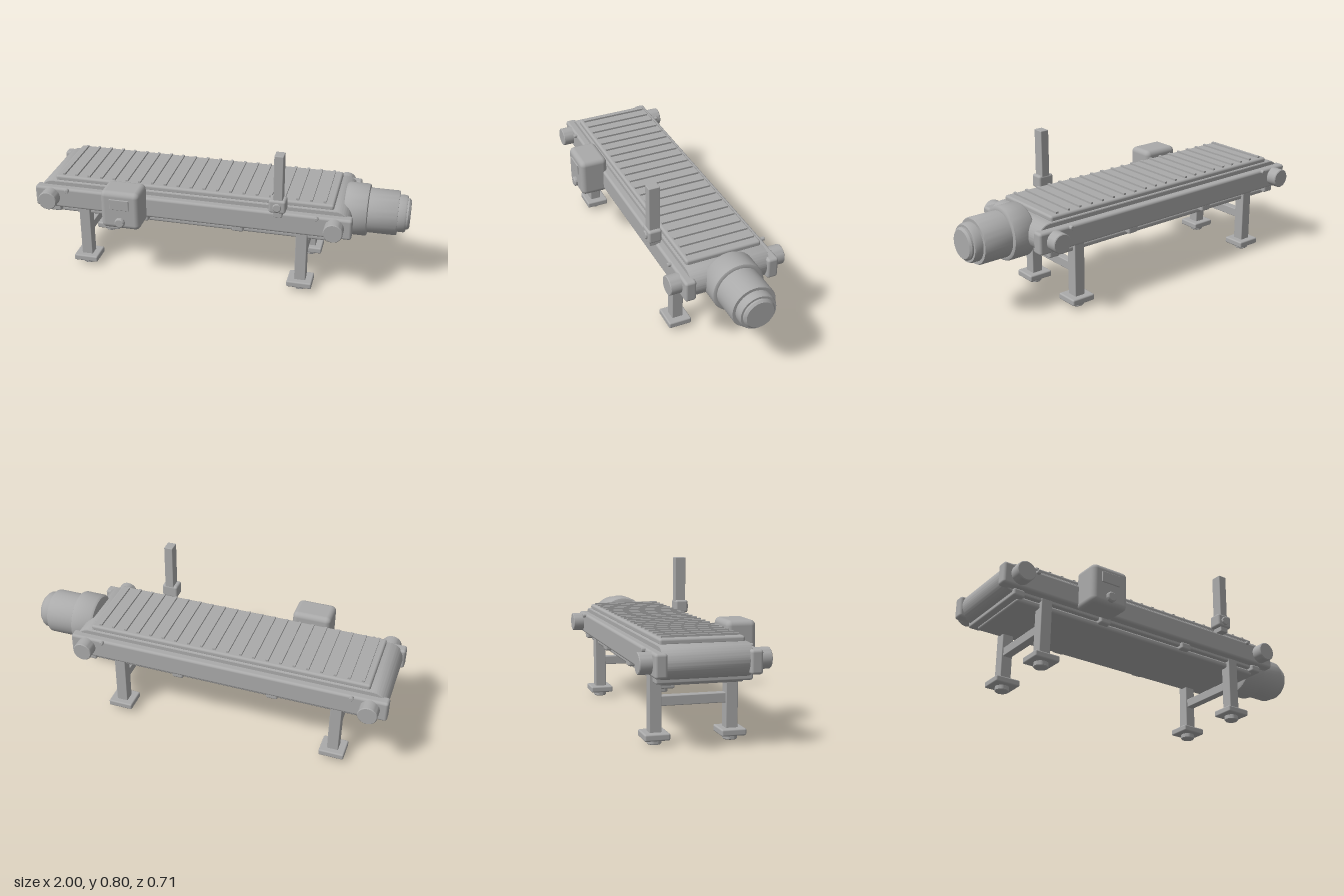
import * as THREE from 'three';
import { toCreasedNormals } from 'three/addons/utils/BufferGeometryUtils.js';
import { RoundedBoxGeometry } from 'three/addons/geometries/RoundedBoxGeometry.js';

const ZC = -0.041; // centre line of the conveyor

export function createModel() {
  const model = new THREE.Group();
  model.name = 'beltConveyor';
  const grey = new THREE.MeshStandardMaterial({ color: 0xaaaaaa });
  grey.name = 'machine grey';

  const add = (name, geometry) => {
    const mesh = new THREE.Mesh(geometry, grey);
    mesh.name = name;
    model.add(mesh);
    return mesh;
  };
  // Box given by its limits on each axis, with optional rounded edges
  const box = (name, [x0, x1], [y0, y1], [z0, z1], r = 0) => {
    const size = [x1 - x0, y1 - y0, z1 - z0];
    const g = r ? new RoundedBoxGeometry(...size, 3, r) : new THREE.BoxGeometry(...size);
    return add(name, g).position.set((x0 + x1) / 2, (y0 + y1) / 2, (z0 + z1) / 2);
  };
  // Turned part from [radius, height] points, standing on the y axis
  const turned = (name, points, segments = 32) => {
    const g = new THREE.LatheGeometry(points.map(p => new THREE.Vector2(...p)), segments);
    return add(name, toCreasedNormals(g, 0.6));
  };
  // Disc with a small bevel on the outer rim
  const disc = (name, r, h, bevel = 0.004, segments = 28) => turned(name,
    [[0, 0], [r, 0], [r, h - bevel], [r - bevel, h], [0, h]], segments);

  // Belt wrapped around the two end drums
  const R = 0.079, XA = -0.91, XB = 0.63, YC = 0.414;
  const loop = new THREE.Shape();
  loop.moveTo(XA, -R);
  loop.lineTo(XB, -R);
  loop.absarc(XB, 0, R, -Math.PI / 2, Math.PI / 2, false);
  loop.lineTo(XA, R);
  loop.absarc(XA, 0, R, Math.PI / 2, Math.PI * 1.5, false);
  const beltGeo = new THREE.ExtrudeGeometry(loop, {
    depth: 0.414, bevelEnabled: true, bevelSize: 0.006, bevelThickness: 0.008,
    bevelOffset: -0.006, bevelSegments: 2, curveSegments: 24,
  });
  add('beltLoop', toCreasedNormals(beltGeo, 0.5)).position.set(0, YC, ZC - 0.207);

  // Upper and lower belt runs
  box('upperRun', [-0.895, 0.618], [0.484, 0.518], [-0.246, 0.163], 0.012);
  box('lowerRun', [-0.895, 0.618], [0.303, 0.334], [-0.244, 0.159], 0.012);

  // Cleats across the belt
  for (let i = 0; i < 21; i++) {
    const x = -0.853 + i * 0.0711;
    box('cleat', [x - 0.007, x + 0.007], [0.512, 0.528], [-0.229, 0.146]);
  }

  // Cross members under the side rails
  for (const x of [-0.898, -0.4, 0.12, 0.62])
    box('crossMember', [x - 0.031, x + 0.031], [0.316, 0.354], [-0.274, 0.191], 0.01);

  for (const s of [1, -1]) {
    // Side rails
    const zr = ZC + s * 0.224;
    box('sideRail', [-1, 0.72], [0.352, 0.467], [zr - 0.03, zr + 0.03], 0.014);

    // Bearing housings and rail screws on the outside
    for (const x of [XA, XB]) {
      const bearing = disc('bearingHousing', 0.051, 0.084);
      bearing.position.set(x, YC, ZC + s * 0.23);
      bearing.rotation.x = s * Math.PI / 2;
    }
    for (const x of [-0.815, 0.537]) {
      const screw = disc('railScrew', 0.011, 0.02, 0.002, 14);
      screw.position.set(x, 0.459, ZC + s * 0.25);
      screw.rotation.x = s * Math.PI / 2;
    }

    // Legs with foot plates and levelling pads
    for (const x of [-0.738, 0.459]) {
      const z = ZC + s * 0.188;
      box('leg', [x - 0.03, x + 0.03], [0.05, 0.37], [z - 0.03, z + 0.03], 0.004);
      box('footPlate', [x - 0.067, x + 0.067], [0.025, 0.059], [z - 0.062, z + 0.062], 0.008);
      const pad = disc('levellingPad', 0.036, 0.03);
      pad.position.set(x, 0.03, z);
      pad.rotation.x = Math.PI;
    }
  }

  // Braces between each pair of legs
  for (const x of [-0.738, 0.459])
    box('legBrace', [x - 0.022, x + 0.022], [0.181, 0.229], [ZC - 0.17, ZC + 0.17], 0.004);

  // Drive motor: flange, body and stepped end cap
  const motor = turned('driveMotor', [
    [0, 0.655], [0.118, 0.655], [0.131, 0.66], [0.139, 0.672], [0.139, 0.772], [0.136, 0.78], [0.128, 0.784],
    [0.119, 0.784], [0.119, 0.93], [0.115, 0.938], [0.099, 0.938],
    [0.099, 0.972], [0.094, 0.981], [0.083, 0.981], [0.083, 0.99], [0.073, 1], [0, 1],
  ], 48);
  motor.position.set(0, 0.409, ZC);
  motor.rotation.z = -Math.PI / 2;

  // Control box with screen and push button
  box('controlBox', [-0.582, -0.371], [0.333, 0.546], [0.185, 0.34], 0.028);
  box('controlScreen', [-0.53, -0.425], [0.449, 0.508], [0.337, 0.346], 0.003);
  const button = disc('pushButton', 0.027, 0.02, 0.006);
  button.position.set(-0.476, 0.377, 0.337);
  button.rotation.x = Math.PI / 2;

  // Sensor post with clamp and knob
  box('sensorPost', [0.317, 0.365], [0.46, 0.804], [0.188, 0.249], 0.004);
  box('postClamp', [0.295, 0.383], [0.487, 0.559], [0.186, 0.258], 0.012);
  const knob = disc('clampKnob', 0.023, 0.016, 0.004, 20);
  knob.position.set(0.339, 0.521, 0.25);
  knob.rotation.x = Math.PI / 2;

  return model;
}
